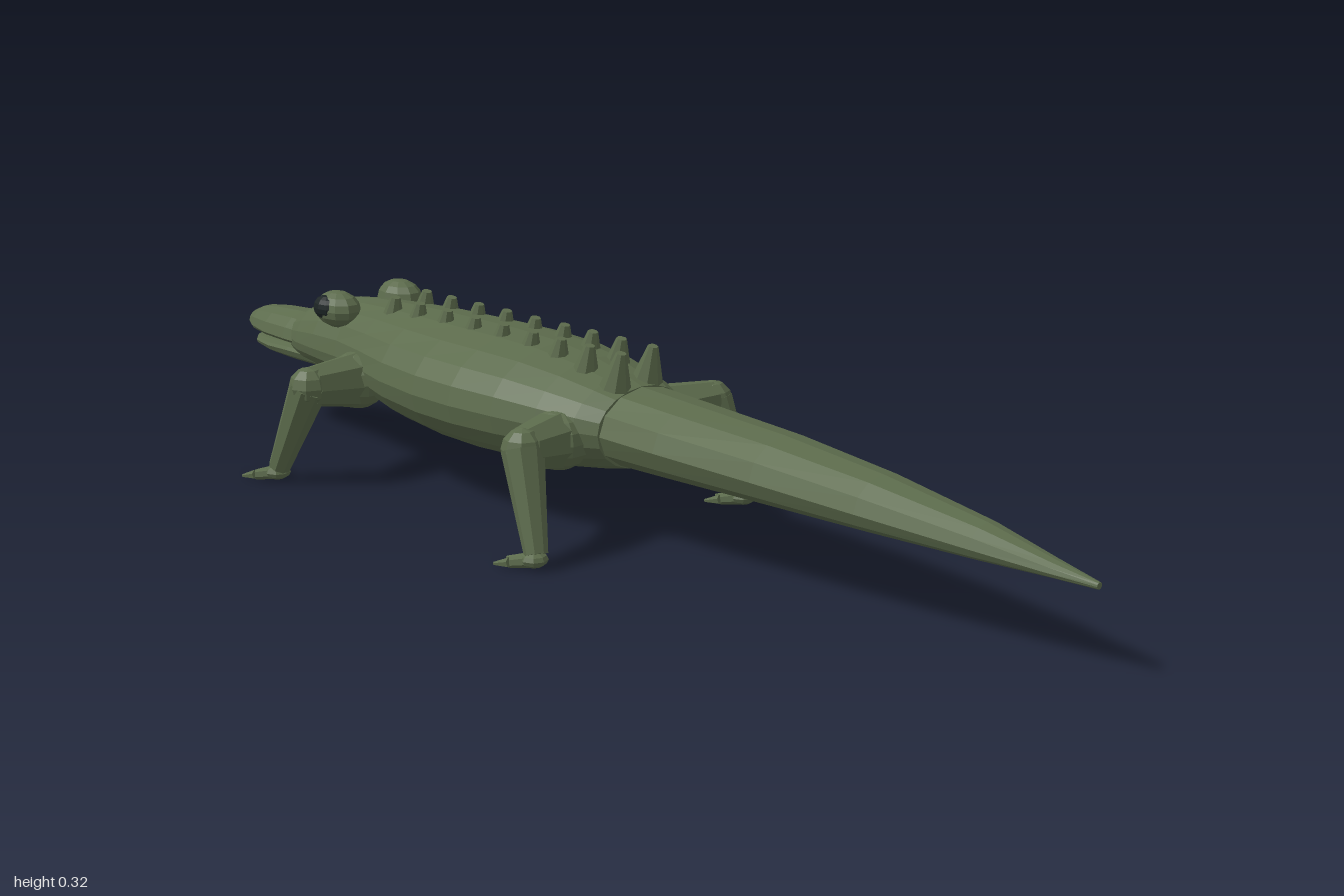
import * as THREE from 'three';

const skin = new THREE.MeshStandardMaterial({ color: 0x5c6b4c });
skin.name = 'olive skin';
const eyeDark = new THREE.MeshStandardMaterial({ color: 0x1c2424 });
eyeDark.name = 'dark eye';

// Faceted mesh from any geometry
function part(name, geometry, material = skin) {
  const g = geometry.index ? geometry.toNonIndexed() : geometry;
  g.computeVertexNormals();
  const mesh = new THREE.Mesh(g, material);
  mesh.name = name;
  return mesh;
}

// Skin oval cross-sections [z, centreY, halfWidth, heightAbove, depthBelow], ordered by rising z
function loft(rings, sides) {
  const pos = [], idx = [];
  for (const [z, cy, rx, up, down] of rings) {
    for (let j = 0; j < sides; j++) {
      const a = (j / sides) * Math.PI * 2, s = Math.sin(a);
      pos.push(Math.cos(a) * rx, cy + s * (s > 0 ? up : down), z);
    }
  }
  const last = rings.length - 1, c0 = rings.length * sides;
  pos.push(0, rings[0][1], rings[0][0], 0, rings[last][1], rings[last][0]);
  for (let j = 0; j < sides; j++) {
    const k = (j + 1) % sides;
    for (let i = 0; i < last; i++) {
      const a = i * sides + j, b = i * sides + k;
      idx.push(a, b, a + sides, b, b + sides, a + sides);
    }
    idx.push(c0, k, j, c0 + 1, last * sides + j, last * sides + k);
  }
  const g = new THREE.BufferGeometry();
  g.setAttribute('position', new THREE.Float32BufferAttribute(pos, 3));
  g.setIndex(idx);
  return g;
}

// Tapered rod between two points
function rod(name, from, to, r0, r1, sides = 8) {
  const a = new THREE.Vector3(...from), d = new THREE.Vector3(...to).sub(a);
  const mesh = part(name, new THREE.CylinderGeometry(r1, r0, d.length(), sides));
  mesh.position.copy(a).addScaledVector(d, 0.5);
  mesh.quaternion.setFromUnitVectors(new THREE.Vector3(0, 1, 0), d.normalize());
  return mesh;
}

function ball(name, center, radii, material, w = 10, h = 8) {
  const g = new THREE.SphereGeometry(1, w, h);
  g.scale(...radii);
  const mesh = part(name, g, material);
  mesh.position.set(...center);
  return mesh;
}

function leg(name, side, hip, knee, ankle) {
  const group = new THREE.Group();
  group.name = name;
  const at = ([x, y, z]) => [x * side, y, z];
  group.add(
    ball('hip', at(hip), [0.055, 0.052, 0.058]),
    rod('upperLeg', at(hip), at(knee), 0.052, 0.036),
    ball('knee', at(knee), [0.036, 0.036, 0.036], skin, 8, 6),
    rod('lowerLeg', at(knee), at(ankle), 0.036, 0.02),
    ball('foot', at([ankle[0], 0.019, ankle[2] - 0.005]), [0.024, 0.014, 0.024], skin, 8, 6),
  );
  // Splayed toes reach forward
  for (const t of [-1, 0, 1]) {
    const [x, , z] = ankle;
    const bend = [x + t * 0.031, 0.014, z - 0.03];
    group.add(
      rod('toe', at([x, 0.018, z]), at(bend), 0.012, 0.009, 6),
      rod('claw', at(bend), at([x + t * 0.036, 0.006, z - (t ? 0.062 : 0.07)]), 0.009, 0.003, 6),
    );
  }
  return group;
}

export function createModel() {
  const model = new THREE.Group();
  model.name = 'crocodile';

  // Trunk and skull
  model.add(part('body', loft([
    [-0.815, 0.2, 0.056, 0.045, 0.045],
    [-0.77, 0.202, 0.076, 0.066, 0.05],
    [-0.7, 0.205, 0.092, 0.084, 0.056],
    [-0.62, 0.205, 0.1, 0.094, 0.066],
    [-0.53, 0.204, 0.122, 0.1, 0.082],
    [-0.43, 0.203, 0.15, 0.104, 0.097],
    [-0.32, 0.202, 0.166, 0.106, 0.105],
    [-0.22, 0.202, 0.169, 0.106, 0.107],
    [-0.12, 0.202, 0.161, 0.102, 0.104],
    [-0.03, 0.2, 0.145, 0.092, 0.095],
    [0.04, 0.198, 0.122, 0.077, 0.083],
    [0.08, 0.196, 0.102, 0.066, 0.073],
  ], 20)));

  // Long tapering tail
  model.add(part('tail', loft([
    [0.02, 0.195, 0.1, 0.07, 0.07],
    [0.2, 0.19, 0.095, 0.064, 0.062],
    [0.4, 0.183, 0.083, 0.06, 0.052],
    [0.6, 0.173, 0.067, 0.05, 0.04],
    [0.8, 0.16, 0.043, 0.033, 0.024],
    [0.92, 0.15, 0.022, 0.016, 0.011],
    [1, 0.144, 0.006, 0.006, 0.005],
  ], 12)));

  // Snout
  model.add(part('upperJaw', loft([
    [-1, 0.204, 0.012, 0.006, 0.006],
    [-0.985, 0.2, 0.026, 0.02, 0.012],
    [-0.955, 0.198, 0.042, 0.034, 0.015],
    [-0.9, 0.196, 0.055, 0.043, 0.014],
    [-0.83, 0.196, 0.062, 0.047, 0.014],
    [-0.76, 0.196, 0.064, 0.046, 0.014],
  ], 14)));
  model.add(part('lowerJaw', loft([
    [-0.978, 0.168, 0.012, 0.005, 0.006],
    [-0.955, 0.167, 0.032, 0.008, 0.014],
    [-0.9, 0.168, 0.047, 0.01, 0.02],
    [-0.83, 0.172, 0.055, 0.012, 0.026],
    [-0.74, 0.174, 0.06, 0.012, 0.027],
  ], 14)));

  for (const side of [1, -1]) {
    // Bulging eyes
    model.add(ball('eyeSocket', [side * 0.073, 0.287, -0.64], [0.037, 0.034, 0.05]));
    model.add(ball('eye', [side * 0.092, 0.291, -0.648], [0.021, 0.023, 0.032], eyeDark));

    // Row of blunt back spikes, leaning to the rear
    for (const z of [-0.53, -0.46, -0.385, -0.31, -0.235, -0.16, -0.09, -0.02, 0.055]) {
      model.add(rod('backSpike', [side * 0.037, 0.262, z], [side * 0.037, 0.323, z + 0.014], 0.027, 0.009));
    }

    model.add(leg('frontLeg', side, [0.11, 0.178, -0.54], [0.228, 0.188, -0.53], [0.248, 0.028, -0.6]));
    model.add(leg('rearLeg', side, [0.115, 0.178, 0.0], [0.222, 0.188, 0.03], [0.247, 0.028, 0.088]));
  }
  return model;
}
